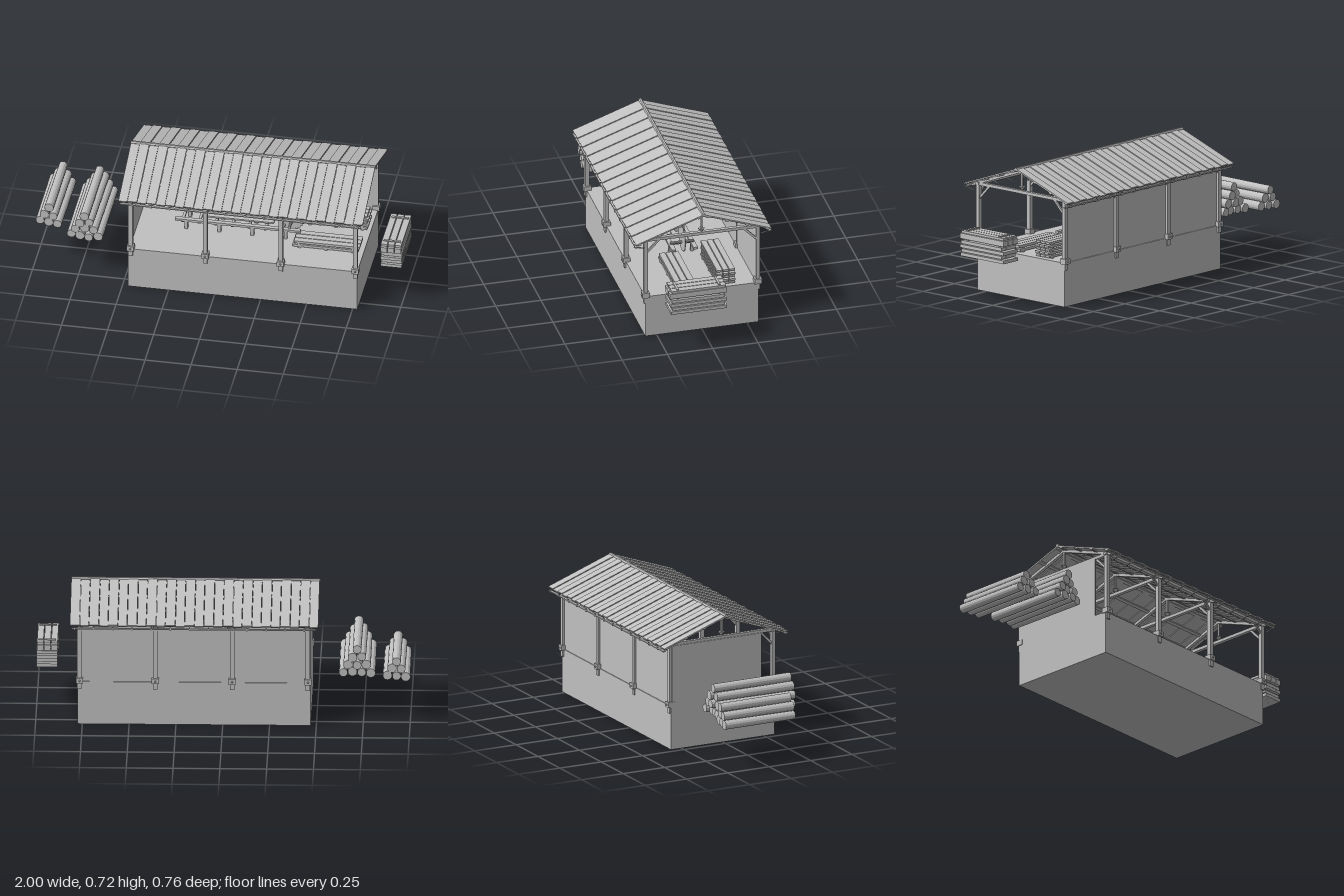
import * as THREE from 'three';

const grey = new THREE.MeshStandardMaterial({ color: 0xc0c0c0, flatShading: true });
grey.name = 'plain grey';

const FLOOR = 0.24, X0 = -0.47, X1 = 0.775;
const POSTS = [-0.455, -0.05, 0.36, 0.765];

function mesh(parent, name, geometry) {
  const m = new THREE.Mesh(geometry, grey);
  m.name = name;
  parent.add(m);
  return m;
}

// Box given by its extents
function box(parent, name, xa, xb, ya, yb, za, zb) {
  const m = mesh(parent, name, new THREE.BoxGeometry(xb - xa, yb - ya, zb - za));
  m.position.set((xa + xb) / 2, (ya + yb) / 2, (za + zb) / 2);
  return m;
}

// Square timber running between two points
function beam(parent, name, a, b, w, h) {
  const p = new THREE.Vector3(...a), q = new THREE.Vector3(...b);
  const m = mesh(parent, name, new THREE.BoxGeometry(w, h, p.distanceTo(q)));
  m.position.copy(p).lerp(q, 0.5);
  m.lookAt(q);
  return m;
}

function group(parent, name) {
  const g = new THREE.Group();
  g.name = name;
  parent.add(g);
  return g;
}

// Triangular pile of logs lying along z
function logPile(parent, cx, rows, za, zb) {
  const pile = group(parent, 'logPile');
  let n = 0;
  for (let r = 0; r < rows; r++) {
    for (let i = 0; i < rows - r; i++) {
      const shift = ((n++ * 7) % 5) * 0.005;
      const len = zb - za - 0.02;
      const log = mesh(pile, 'log', new THREE.CylinderGeometry(0.023, 0.025, len, 14));
      log.rotation.x = n % 2 ? Math.PI / 2 : -Math.PI / 2;
      log.position.set(cx + (i - (rows - r - 1) / 2) * 0.049, 0.261 + r * 0.0425, (za + zb) / 2 - 0.01 + shift);
    }
  }
}

// Layered boards with cross spacers; the boards run along x
function plankStack(parent, xa, xb, za, zb, layers, step) {
  const stack = group(parent, 'plankStack');
  const w = (zb - za) / 3;
  for (let l = 0; l < layers; l++) {
    const y = FLOOR + l * step, d = (l % 2) * 0.008;
    for (let i = 0; i < 3; i++) {
      box(stack, 'plank', xa + d, xb - 0.008 + d, y + 0.005, y + step - 0.002, za + i * w + 0.002, za + (i + 1) * w - 0.002);
    }
    for (const t of [0.1, 0.5, 0.9]) {
      const x = xa + (xb - xa) * t;
      box(stack, 'spacer', x - 0.008, x + 0.008, y, y + 0.005, za, zb);
    }
  }
}

// Toothed saw blade standing in the xy plane
function sawBlade(parent, x, y, r) {
  const shape = new THREE.Shape();
  const teeth = 28;
  for (let i = 0; i < teeth * 2; i++) {
    const a = (i / (teeth * 2)) * Math.PI * 2, k = i % 2 ? r * 0.92 : r;
    shape[i ? 'lineTo' : 'moveTo'](Math.cos(a) * k, Math.sin(a) * k);
  }
  const blade = mesh(parent, 'sawBlade', new THREE.ExtrudeGeometry(shape, { depth: 0.004, bevelEnabled: false }));
  blade.position.set(x, y, -0.002);
}

export function createModel() {
  const root = new THREE.Group();
  root.name = 'sawmill';

  // Foundation and walls on the back and left-hand side of the picture
  box(root, 'foundation', X0, X1, 0, FLOOR, -0.313, 0.313);
  box(root, 'backWall', X0, X1, FLOOR, 0.58, -0.308, -0.3);
  box(root, 'endWall', X0, X0 + 0.008, FLOOR, 0.575, -0.3, 0.235);

  // Frames: posts, shoes, braces, tie beam, rafters and king post
  for (const x of POSTS) {
    const frame = group(root, 'frame');
    for (const s of [-1, 1]) {
      const z = 0.31 * s;
      box(frame, 'post', x - 0.012, x + 0.012, 0.2, 0.592, z - 0.011, z + 0.011);
      box(frame, 'postCollar', x - 0.019, x + 0.019, 0.234, 0.264, z - 0.02, z + 0.02);
      const bolt = mesh(frame, 'bolt', new THREE.ConeGeometry(0.006, 0.008, 6));
      bolt.rotation.x = s * Math.PI / 2;
      bolt.position.set(x, 0.249, 0.334 * s);
      beam(frame, 'crossBrace', [x, 0.505, 0.302 * s], [x, 0.577, 0.232 * s], 0.01, 0.012);
      beam(frame, 'rafter', [x, 0.697, 0], [x, 0.571, 0.355 * s], 0.018, 0.016);
      for (const d of [-1, 1]) {
        if (x + d * 0.05 < X0 || x + d * 0.05 > X1) continue;
        beam(frame, 'longBrace', [x, 0.525, z], [x + d * 0.05, 0.575, z], 0.01, 0.01);
      }
    }
    box(frame, 'tieBeam', x - 0.01, x + 0.01, 0.573, 0.59, -0.3, 0.3);
    box(frame, 'kingPost', x - 0.005, x + 0.005, 0.59, 0.695, -0.005, 0.005);
    const foot = mesh(frame, 'kingPostFoot', new THREE.CylinderGeometry(0.021, 0.004, 0.02, 4));
    foot.position.set(x, 0.6, 0);
  }

  // Roof: plates, battens, boards, ridge cap and gutter hooks
  const roof = group(root, 'roof');
  const COUNT = 26, RX0 = -0.513, RX1 = 0.815, step = (RX1 - RX0) / COUNT;
  for (const s of [-1, 1]) {
    box(roof, 'wallPlate', X0 - 0.005, X1 + 0.005, 0.575, 0.59, 0.31 * s - 0.01, 0.31 * s + 0.01);
    for (const t of [0.06, 0.35, 0.65, 0.95]) {
      const m = box(roof, 'batten', RX0 + 0.005, RX1 - 0.005, -0.004, 0.004, -0.009, 0.009);
      m.position.y = 0.704 - 0.133 * t;
      m.position.z = 0.37 * t * s;
      m.rotation.x = s * 0.345;
    }
    for (let i = 0; i < COUNT; i++) {
      const x = RX0 + (i + 0.5) * step, lift = (i % 2) * 0.004;
      beam(roof, 'roofBoard', [x, 0.709 + lift, 0], [x, 0.576 + lift, 0.373 * s], step - (i % 2 ? 0 : 0.004), 0.008);
      if (i % 2) {
        beam(roof, 'gutterHook', [x, 0.546, 0.322 * s], [x, 0.558, 0.379 * s], 0.006, 0.004);
        beam(roof, 'gutterHook', [x, 0.556, 0.378 * s], [x, 0.574, 0.375 * s], 0.006, 0.004);
      }
    }
    const gutter = beam(roof, 'gutter', [RX0 + 0.01, 0.562, 0.37 * s], [RX1 - 0.01, 0.562, 0.37 * s], 0.014, 0.006);
    gutter.name = 'gutter';
  }
  const cap = mesh(roof, 'ridgeCap', new THREE.CylinderGeometry(0.01, 0.01, RX1 - RX0, 6));
  cap.rotation.z = Math.PI / 2;
  cap.position.set((RX0 + RX1) / 2, 0.712, 0);

  // Log piles
  logPile(root, -0.927, 3, -0.26, 0.18);
  logPile(root, -0.715, 4, -0.205, 0.278);

  // Outdoor board stack, boards running along z
  const outside = group(root, 'boardStack');
  const layers = [
    [0.237, 0.255, -0.08, 0.23], [0.26, 0.277, -0.065, 0.222], [0.282, 0.3, -0.078, 0.232],
    [0.305, 0.323, -0.065, 0.225], [0.33, 0.36, -0.077, 0.235], [0.363, 0.376, -0.075, 0.225],
  ];
  layers.forEach(([ya, yb, za, zb], l) => {
    for (let i = 0; i < 3; i++) {
      const x = 0.887 + i * 0.038;
      box(outside, 'board', x, x + (l > 3 ? 0.034 : 0.0375), ya, yb, za, zb);
    }
    for (const z of [-0.04, 0.19]) box(outside, 'spacer', 0.897, 0.99, yb, yb + 0.006, z - 0.006, z + 0.006);
  });

  // Indoor plank stacks
  plankStack(root, 0.41, 0.762, -0.19, -0.087, 5, 0.0185);
  plankStack(root, 0.39, 0.755, 0.03, 0.14, 2, 0.021);

  // Saw bench with rails, carriage, log and blade
  const saw = group(root, 'sawBench');
  for (const z of [-0.06, 0.06]) {
    box(saw, 'rail', -0.26, 0.42, 0.287, 0.3, z - 0.012, z + 0.012);
    for (const x of [-0.2, -0.02, 0.16, 0.34]) {
      box(saw, 'benchLeg', x - 0.009, x + 0.009, FLOOR, 0.288, z - 0.009, z + 0.009);
    }
  }
  for (let i = 0; i < 7; i++) {
    const x = -0.22 + i * 0.09;
    box(saw, 'crossBar', x - 0.007, x + 0.007, 0.278, 0.29, -0.065, 0.065);
  }
  box(saw, 'carriage', -0.12, 0.27, 0.3, 0.309, -0.05, 0.03);
  for (const x of [-0.1, 0.25]) box(saw, 'logClamp', x - 0.012, x + 0.012, 0.305, 0.355, -0.04, -0.03);
  const log = mesh(saw, 'sawLog', new THREE.CylinderGeometry(0.021, 0.023, 0.34, 12));
  log.rotation.z = Math.PI / 2;
  log.position.set(0.07, 0.328, -0.01);
  sawBlade(saw, 0.36, 0.337, 0.077);
  const axle = mesh(saw, 'sawAxle', new THREE.CylinderGeometry(0.008, 0.008, 0.13, 10));
  axle.rotation.x = Math.PI / 2;
  axle.position.set(0.36, 0.31, 0);

  // Faceted sawdust heap by the back wall
  const heap = mesh(root, 'sawdustHeap', new THREE.IcosahedronGeometry(1, 1));
  heap.scale.set(0.09, 0.066, 0.052);
  heap.position.set(-0.28, 0.24, -0.238);

  return root;
}
